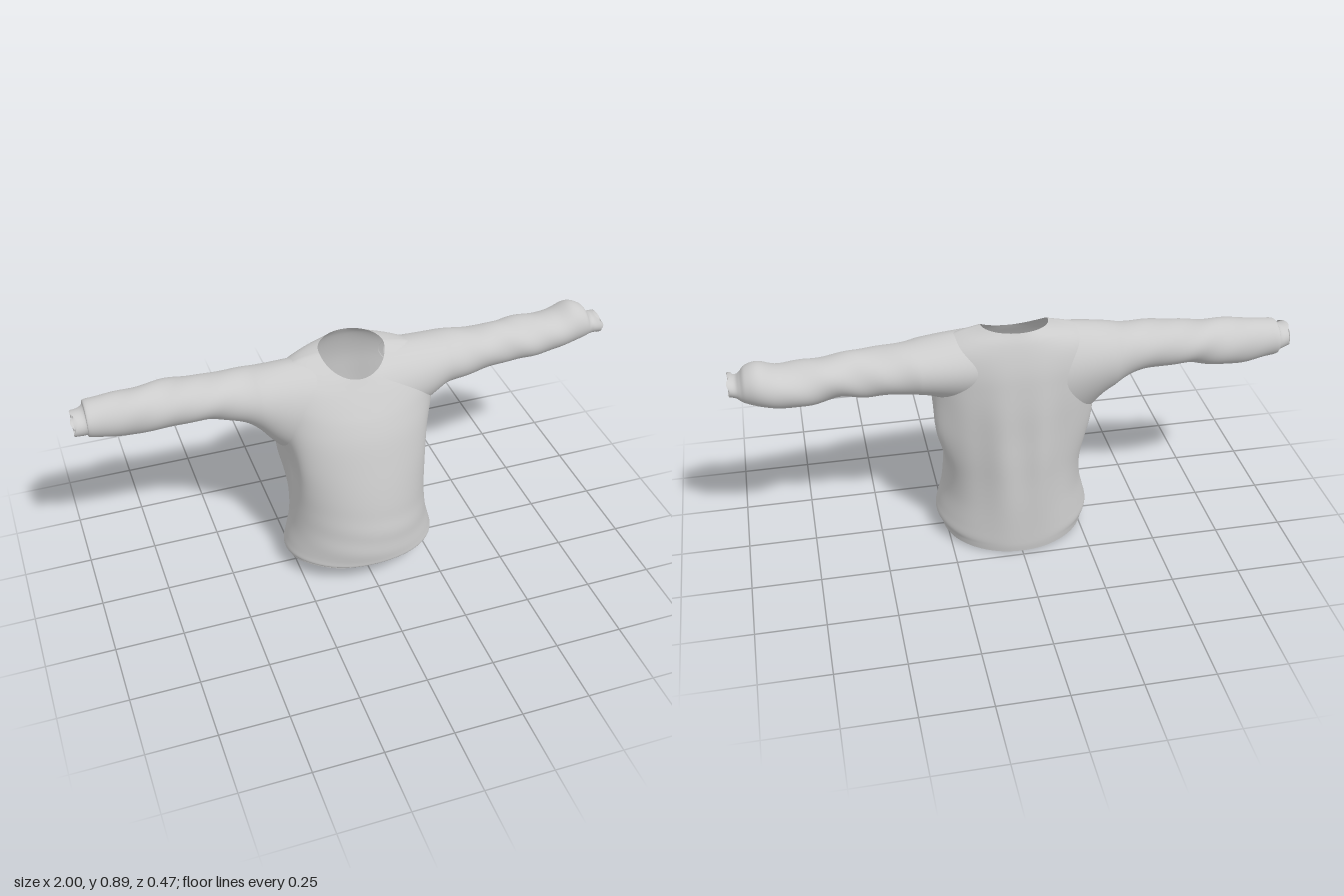
import * as THREE from 'three';

const SEG = 96;
const cloth = new THREE.MeshStandardMaterial({ color: 0xcccccc, side: THREE.DoubleSide });

// Smoothly resample a short table of cross-sections
function resample(table, steps) {
  const size = table[0].length;
  const spline = new THREE.CubicInterpolant(table.map((r, i) => i), table.flat(), size);
  const rows = [];
  const n = (table.length - 1) * steps;
  for (let i = 0; i <= n; i++) rows.push(Array.from(spline.evaluate(i / steps)).slice(0, size));
  return rows;
}

// Skin a stack of closed rings
function loft(rows, pointAt, flip = false) {
  const pos = [], index = [];
  rows.forEach((row, r) => {
    for (let i = 0; i < SEG; i++) pos.push(...pointAt(row, (i / SEG) * Math.PI * 2, r));
  });
  for (let r = 0; r < rows.length - 1; r++) {
    for (let i = 0; i < SEG; i++) {
      const a = r * SEG + i, b = r * SEG + (i + 1) % SEG, c = a + SEG, d = b + SEG;
      if (flip) index.push(a, b, c, b, d, c);
      else index.push(a, c, b, b, c, d);
    }
  }
  const geo = new THREE.BufferGeometry();
  geo.setAttribute('position', new THREE.Float32BufferAttribute(pos, 3));
  geo.setIndex(index);
  geo.computeVertexNormals();
  return geo;
}

const bump = (v, centre, width) => Math.exp(-(((v - centre) / width) ** 2));

// Body rings: yFront, ySide, yBack, zFront, zBack, halfWidth
const BODY = [
  [0.070, 0.032, 0.001, 0.195, -0.228, 0.268],
  [0.100, 0.05, 0.025, 0.198, -0.231, 0.272],
  [0.100, 0.08, 0.05, 0.232, -0.232, 0.288],
  [0.125, 0.12, 0.10, 0.237, -0.233, 0.280],
  [0.2, 0.2, 0.2, 0.238, -0.235, 0.262],
  [0.3, 0.3, 0.3, 0.225, -0.235, 0.258],
  [0.4, 0.4, 0.4, 0.208, -0.235, 0.268],
  [0.5, 0.5, 0.5, 0.185, -0.232, 0.284],
  [0.6, 0.6, 0.6, 0.158, -0.230, 0.296],
  [0.67, 0.68, 0.68, 0.130, -0.225, 0.303],
  [0.72, 0.76, 0.75, 0.103, -0.218, 0.305],
  [0.765, 0.83, 0.81, 0.076, -0.205, 0.278],
  [0.795, 0.866, 0.86, 0.057, -0.188, 0.21],
  [0.815, 0.886, 0.895, 0.045, -0.168, 0.12],
];

function bodyPoint([yF, yS, yB, zF, zB, w], a) {
  const c = Math.cos(a), s = Math.sin(a);
  const t = s > 0 ? s ** 1.25 : -s;
  let x = w * c;
  let y = yS + ((s > 0 ? yF : yB) - yS) * t;
  let z = (zF + zB) / 2 + ((zF - zB) / 2) * s;
  // Hanging folds down the back
  z += 0.007 * bump(y, 0.42, 0.24) * Math.cos(x * 42) * Math.max(0, -s);
  // Deep drape under each arm, between the front panel and the back flap
  const drape = bump(y, 0.48, 0.13) * Math.abs(c);
  const flap = c > 0 ? 0.03 : 0.018;
  x += Math.sign(c) * drape * (flap * bump(z, -0.11, 0.05) - 0.026 * bump(z, 0.02, 0.055));
  // Soft pull lines at the front waist and a slightly uneven hem
  z += 0.002 * Math.max(0, s) * bump(y, 0.2, 0.1) * Math.sin(y * 55 + x * 9);
  y += 0.006 * bump(y, 0.05, 0.05) * Math.sin(a * 5 + 1) * Math.max(0, s);
  return [x, y, z];
}

// Sleeve rings: distance from centre, yTop, yBottom, zFront, zBack
const LEFT_SLEEVE = [
  [0.28, 0.864, 0.632, 0.062, -0.195],
  [0.345, 0.851, 0.660, 0.030, -0.195],
  [0.42, 0.845, 0.668, 0.012, -0.185],
  [0.52, 0.838, 0.676, 0.000, -0.180],
  [0.62, 0.834, 0.688, -0.012, -0.185],
  [0.72, 0.833, 0.676, -0.022, -0.198],
  [0.82, 0.826, 0.684, -0.030, -0.208],
  [0.89, 0.850, 0.696, -0.040, -0.208],
  [0.935, 0.838, 0.708, -0.048, -0.190],
  [0.955, 0.814, 0.716, -0.056, -0.174],
  [0.972, 0.800, 0.728, -0.052, -0.162],
  [1.0, 0.804, 0.732, -0.042, -0.154],
];
const RIGHT_SLEEVE = [
  [0.28, 0.864, 0.530, 0.062, -0.195],
  [0.35, 0.851, 0.612, 0.032, -0.195],
  [0.42, 0.846, 0.664, 0.010, -0.190],
  [0.52, 0.846, 0.686, -0.005, -0.190],
  [0.62, 0.845, 0.688, -0.020, -0.200],
  [0.72, 0.838, 0.676, -0.030, -0.200],
  [0.82, 0.836, 0.670, -0.040, -0.195],
  [0.90, 0.828, 0.684, -0.050, -0.190],
  [0.945, 0.822, 0.694, -0.052, -0.190],
  [0.952, 0.806, 0.704, -0.058, -0.180],
  [0.970, 0.798, 0.708, -0.057, -0.170],
  [1.0, 0.800, 0.716, -0.050, -0.160],
];

function makeSleeve(table, side, body) {
  const ray = new THREE.Raycaster();
  const rows = resample(table, 6);
  const geo = loft(rows, ([d, top, bottom, zF, zB], a, r) => {
    // Spiral folds along the arm
    const folds = bump(d, 0.62, 0.24) * Math.min(1, r / 8);
    const swell = 1 + folds * (0.04 * Math.sin(a * 2 + d * 24 * side) + 0.025 * Math.sin(a * 3 - d * 41));
    const y = (top + bottom) / 2 + ((top - bottom) / 2) * Math.cos(a) * swell;
    const z = (zF + zB) / 2 + ((zF - zB) / 2) * Math.sin(a) * swell;
    let x = d;
    // The first rings wrap onto the body surface at the armhole
    if (r < 6) {
      ray.set(new THREE.Vector3(side, y, z), new THREE.Vector3(-side, 0, 0));
      const hit = ray.intersectObject(body)[0];
      const seam = hit && hit.point.x * side > 0 ? hit.point.x * side - 0.003 : 0.2;
      x = THREE.MathUtils.lerp(seam, table[1][0], r / 6);
    }
    // Ragged cuff edge
    if (r === rows.length - 1) x -= 0.01 * (1 + Math.sin(a * 3 + side));
    return [side * x, y, z];
  }, side > 0);
  const mesh = new THREE.Mesh(geo, cloth);
  mesh.name = side > 0 ? 'leftSleeve' : 'rightSleeve';
  return mesh;
}

// Remove body faces that lie inside the armholes
function openArmholes(geo) {
  const p = geo.attributes.position, old = geo.index.array, kept = [];
  const inside = (i) => {
    const x = p.getX(i);
    if (Math.abs(x) < 0.14) return false;
    const [, top, bottom, zF, zB] = (x > 0 ? LEFT_SLEEVE : RIGHT_SLEEVE)[0];
    const u = (p.getY(i) - (top + bottom) / 2) / ((top - bottom) / 2);
    const v = (p.getZ(i) - (zF + zB) / 2) / ((zF - zB) / 2);
    return u * u + v * v < 0.95;
  };
  for (let i = 0; i < old.length; i += 3) {
    const tri = [old[i], old[i + 1], old[i + 2]];
    if (!tri.every(inside)) kept.push(...tri);
  }
  geo.setIndex(kept);
}

export function createModel() {
  const group = new THREE.Group();
  group.name = 'sweatshirt';

  // Body with hem fold and neck opening
  const body = new THREE.Mesh(loft(resample(BODY, 6), bodyPoint), cloth);
  body.name = 'body';
  body.updateMatrixWorld();

  // Sleeves with cuffs
  group.add(makeSleeve(LEFT_SLEEVE, 1, body), makeSleeve(RIGHT_SLEEVE, -1, body));

  openArmholes(body.geometry);
  group.add(body);
  return group;
}
